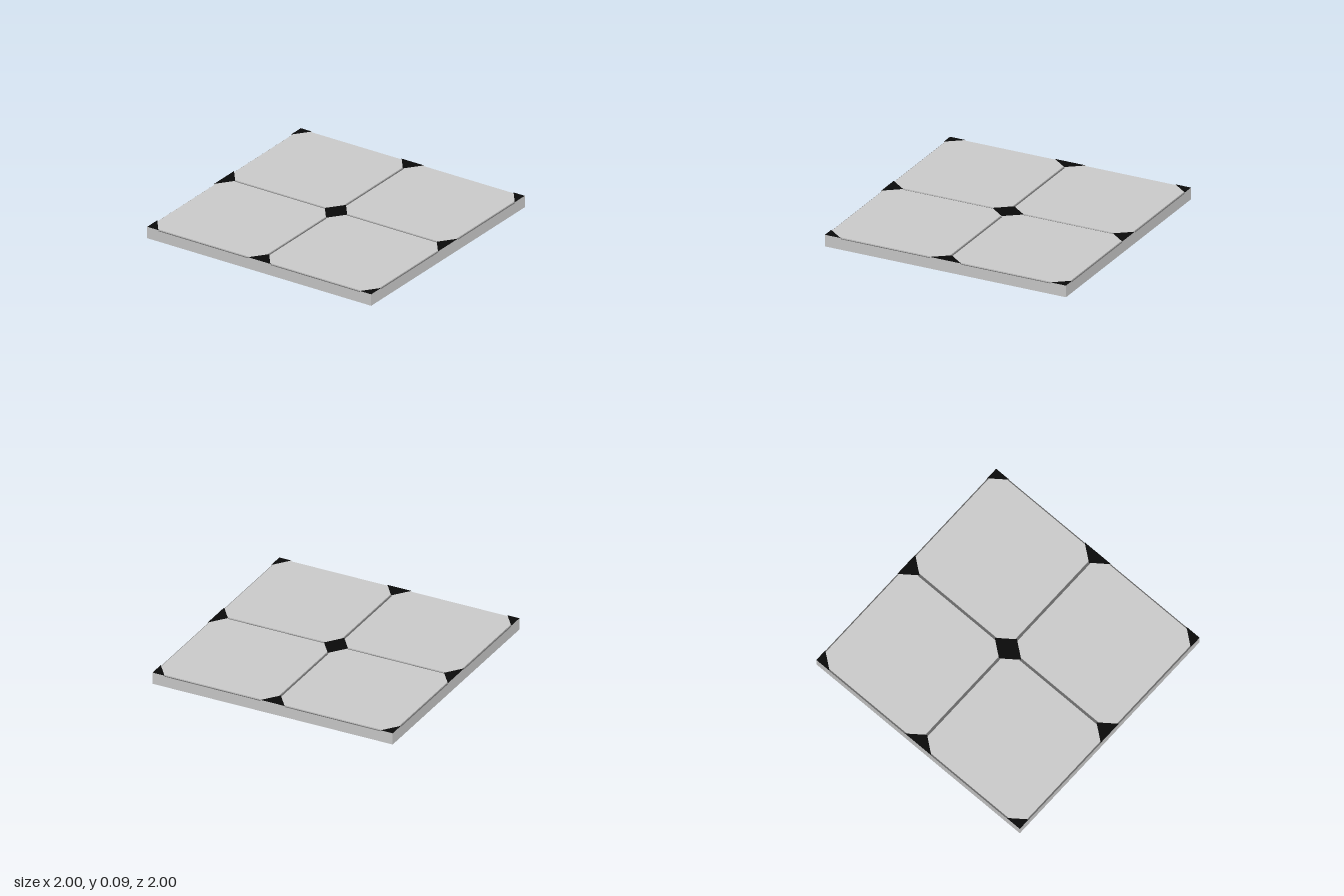
import * as THREE from 'three';

const GROOVE_Y = 0.085, TOP_Y = 0.094;
const INSET_X = 0.1, INSET_Z = 0.13; // half-diagonals of the diamond inserts
const GAP = 0.011;                   // half-width of the grout lines

const grey = new THREE.MeshStandardMaterial({ color: 0xcccccc });
const grout = new THREE.MeshStandardMaterial({ color: 0x666666 });
const black = new THREE.MeshStandardMaterial({ color: 0x0a0a0a });

// Flat prism standing on the grout level; outline points are [x, -z]
function slab(name, points, capMaterial) {
  const shape = new THREE.Shape(points.map(([x, y]) => new THREE.Vector2(x, y)));
  const geometry = new THREE.ExtrudeGeometry(shape, { depth: TOP_Y - GROOVE_Y, bevelEnabled: false });
  geometry.rotateX(-Math.PI / 2);
  const mesh = new THREE.Mesh(geometry, [capMaterial, grey]);
  mesh.name = name;
  mesh.position.y = GROOVE_Y;
  return mesh;
}

export function createModel() {
  const model = new THREE.Group();
  model.name = 'floorTilePanel';

  // Base slab, with grout showing on its upper face
  const base = new THREE.Mesh(
    new THREE.BoxGeometry(2, GROOVE_Y, 2),
    [grey, grey, grout, grey, grey, grey]
  );
  base.name = 'base';
  base.position.y = GROOVE_Y / 2;
  model.add(base);

  // Four large tiles with clipped corners that meet the diamonds
  const h = 0.5 - GAP;
  const cx = 0.5 - INSET_X * (1 - GAP / INSET_Z);
  const cz = 0.5 - INSET_Z * (1 - GAP / INSET_X);
  const octagon = [[cx, -h], [h, -cz], [h, cz], [cx, h], [-cx, h], [-h, cz], [-h, -cz], [-cx, -h]];
  for (const x of [-0.5, 0.5]) {
    for (const z of [-0.5, 0.5]) {
      const tile = slab('tile', octagon, grey);
      tile.position.x = x;
      tile.position.z = z;
      model.add(tile);
    }
  }

  // Diamond inserts, cut to halves and quarters along the panel border
  for (const x of [-1, 0, 1]) {
    for (const y of [-1, 0, 1]) {
      const corners = [[INSET_X, 0], [0, INSET_Z], [-INSET_X, 0], [0, -INSET_Z]];
      const inside = ([px, py]) => Math.abs(x + px) <= 1 && Math.abs(y + py) <= 1;
      const outline = corners.filter(inside).map(([px, py]) => [x + px, y + py]);
      if (x !== 0 && y !== 0) outline.push([x, y]);
      model.add(slab('diamondInsert', outline, black));
    }
  }

  return model;
}
